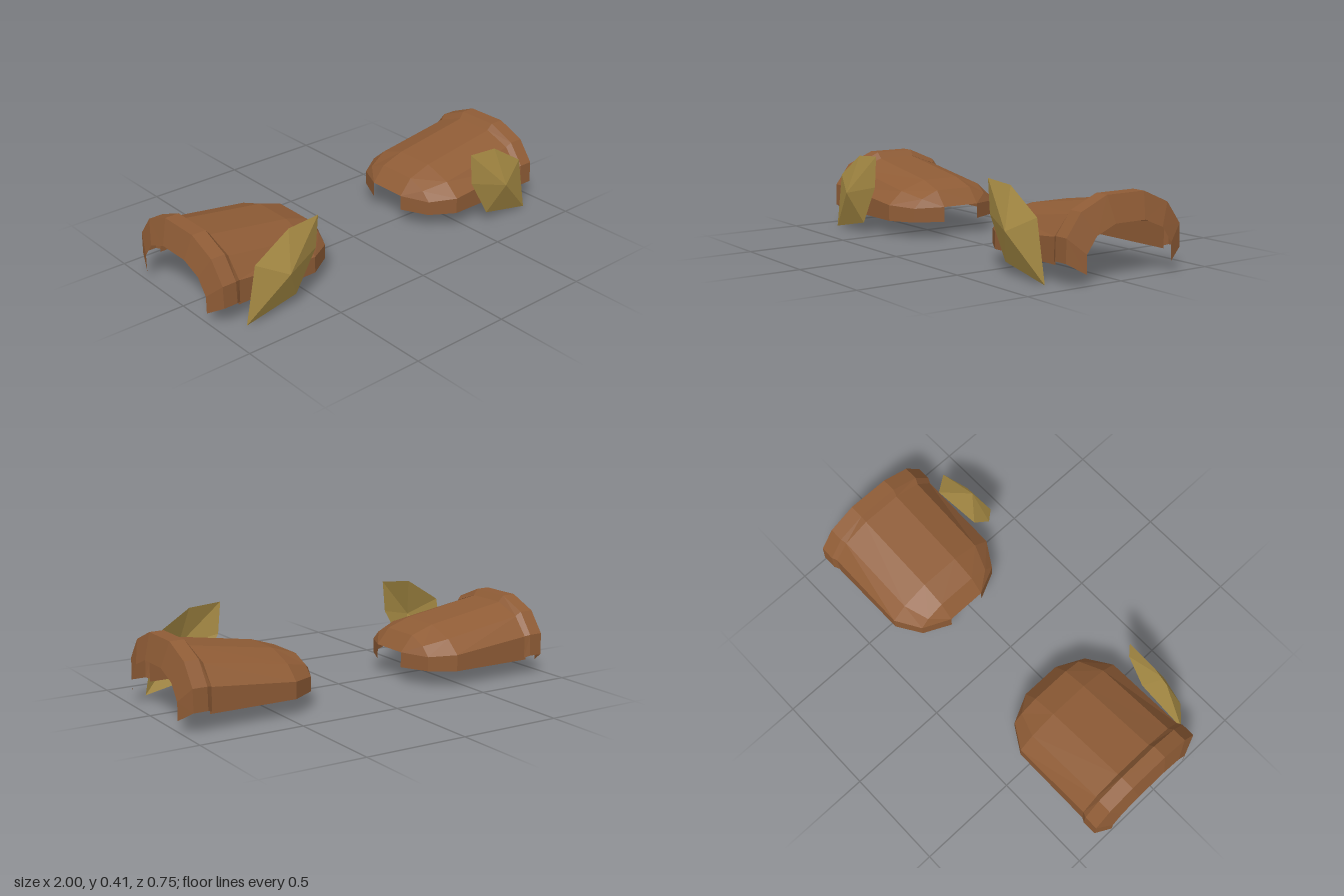
import * as THREE from 'three';

const CENTRE_Z = -0.05;

function flatMaterial(name, color) {
  const m = new THREE.MeshStandardMaterial({ color, flatShading: true, side: THREE.DoubleSide });
  m.name = name;
  return m;
}

// Triangles on the +x side; mirrored for side = -1 with the winding turned round
function makeMesh(name, triangles, material, side) {
  const pos = [];
  for (const t of triangles) {
    const corners = side > 0 ? t : [t[0], t[2], t[1]];
    for (const [x, y, z] of corners) pos.push(x * side, y, z);
  }
  const g = new THREE.BufferGeometry();
  g.setAttribute('position', new THREE.Float32BufferAttribute(pos, 3));
  g.computeVertexNormals();
  const mesh = new THREE.Mesh(g, material);
  mesh.name = name;
  return mesh;
}

// Each section is { x, half: [[halfWidth, y], ...] } from bottom edge to crown
function loft(sections) {
  const rings = sections.map(({ x, half }) => [
    ...half.map(([w, y]) => [x, y, CENTRE_Z + w]),
    ...half.slice().reverse().map(([w, y]) => [x, y, CENTRE_Z - w]),
  ]);
  const tris = [];
  const same = (p, q) => p.every((v, k) => v === q[k]);
  const add = (a, b, c) => {
    if (!same(a, b) && !same(b, c) && !same(a, c)) tris.push([a, b, c]);
  };
  for (let i = 0; i + 1 < rings.length; i++) {
    for (let j = 0; j + 1 < rings[i].length; j++) {
      const a = rings[i][j], d = rings[i][j + 1];
      const b = rings[i + 1][j], c = rings[i + 1][j + 1];
      add(a, d, c);
      add(a, c, b);
    }
  }
  return tris;
}

// Arched shell, sloping down to a blunt inner tip
const shellSections = [
  { x: 0.88, half: [[0.31, 0.08], [0.31, 0.2], [0.235, 0.29], [0.1, 0.34]] },
  { x: 0.45, half: [[0.31, 0.08], [0.31, 0.16], [0.235, 0.225], [0.1, 0.272]] },
  { x: 0.33, half: [[0.235, 0.08], [0.235, 0.15], [0.19, 0.195], [0.1, 0.232]] },
  { x: 0.265, half: [[0.1, 0.08], [0.1, 0.155], [0.1, 0.155], [0.1, 0.155]] },
];

// Raised band, turning in at the open outer end
const band = [[0.325, 0.1], [0.322, 0.207], [0.245, 0.31], [0.105, 0.37]];
const rimSections = [
  { x: 1, half: [[0.24, 0.05], [0.24, 0.135], [0.187, 0.208], [0.083, 0.25]] },
  { x: 0.965, half: band },
  { x: 0.895, half: band },
  { x: 0.87, half: [[0.31, 0.09], [0.31, 0.2], [0.235, 0.29], [0.1, 0.34]] },
];

// Six-sided faceted ornament, open at the back
const outline = [[0.475, 0.408], [0.64, 0.396], [0.825, 0.28], [0.88, 0], [0.605, 0.055], [0.49, 0.25]];
const apex = [0.677, 0.205, 0.375];
const ornamentTriangles = outline.map(([x, y], i) => {
  const [nx, ny] = outline[(i + 1) % outline.length];
  return [apex, [nx, ny, 0.317], [x, y, 0.317]];
});

export function createModel() {
  const brown = flatMaterial('brown leather', 0x8f5c36);
  const gold = flatMaterial('dull gold', 0xa88c45);
  const model = new THREE.Group();
  model.name = 'shoulderGuards';
  for (const [side, label] of [[1, 'left'], [-1, 'right']]) {
    const guard = new THREE.Group();
    guard.name = label + 'Guard';
    guard.add(
      makeMesh(label + 'Shell', loft(shellSections), brown, side),
      makeMesh(label + 'Rim', loft(rimSections), brown, side),
      makeMesh(label + 'Ornament', ornamentTriangles, gold, side),
    );
    model.add(guard);
  }
  return model;
}
